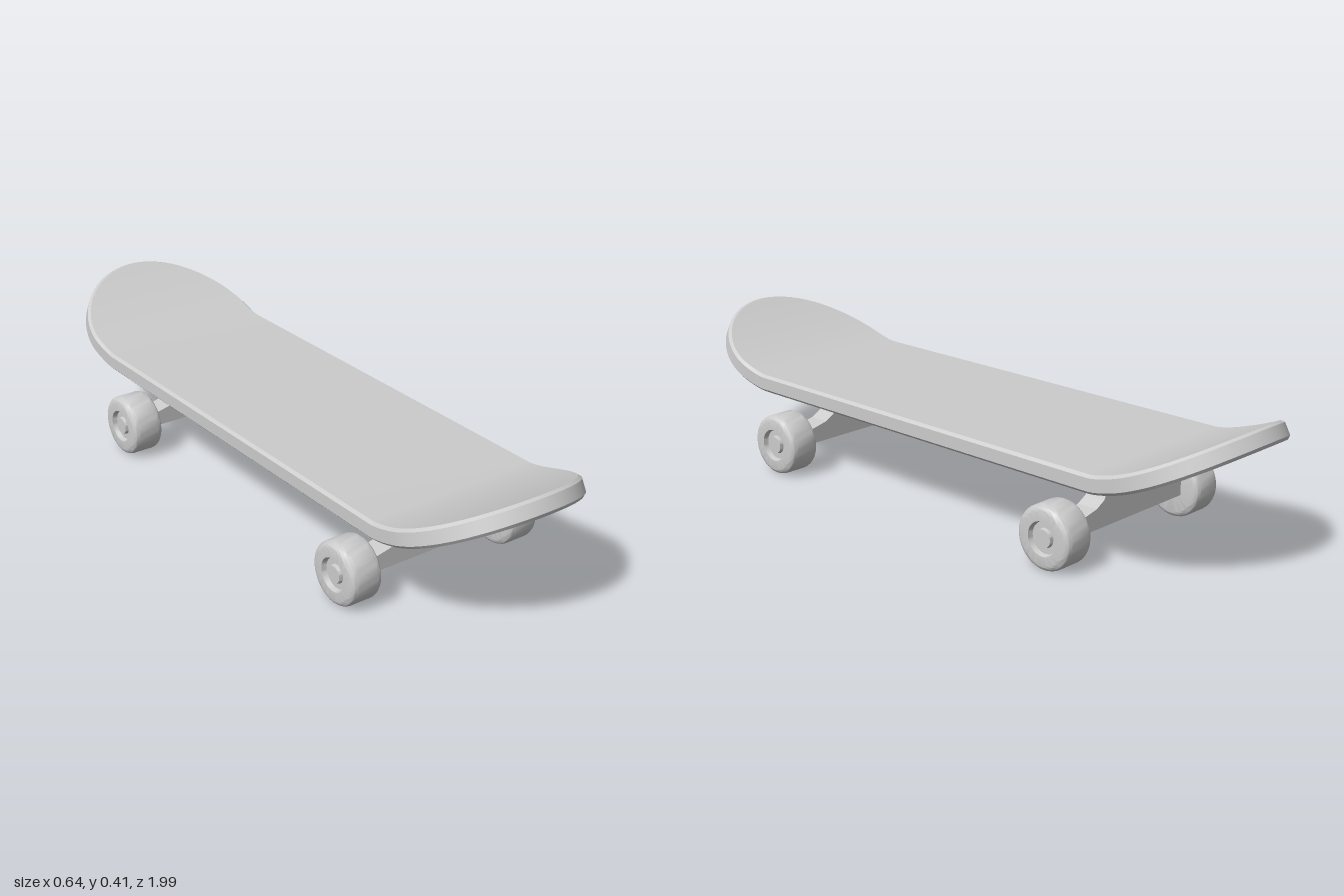
import * as THREE from 'three';
import { toCreasedNormals } from 'three/addons/utils/BufferGeometryUtils.js';

const material = new THREE.MeshStandardMaterial({ color: 0xcccccc });

const HALF_WIDTH = 0.275, THICK = 0.052, BEVEL = 0.008;
const DECK_Y = 0.227, ROUND_Z = 0.73, ROUND_R = 0.27, BEND_Z = 0.64;

// Lift a flat deck point onto the upturned nose and tail
function bend(x, h, z) {
  const t = Math.max(0, (Math.abs(z) - BEND_Z) / 0.36);
  const slope = Math.atan((0.147 * 1.5 / 0.36) * Math.sqrt(t));
  return [
    x,
    DECK_Y + 0.147 * t ** 1.5 + h * Math.cos(slope),
    z - Math.sign(z) * h * Math.sin(slope),
  ];
}

// Deck: bevelled cross-sections lofted from tail to nose
function deckGeometry() {
  const half = [{ a: 0, z: 0.4 }];
  for (let i = 0; i < 5; i++) half.push({ a: 0, z: BEND_Z + (ROUND_Z - BEND_Z) * i / 5 });
  for (let i = 0; i <= 24; i++) half.push({ a: (i / 24) * Math.PI / 2, z: ROUND_Z });
  const stations = [
    ...half.map((s) => ({ ...s, side: -1 })).reverse(),
    ...half.map((s) => ({ ...s, side: 1 })),
  ];
  const layers = [[BEVEL, 0], [0, BEVEL], [0, THICK - BEVEL], [BEVEL, THICK]];
  const positions = [], index = [];
  for (const { a, z, side } of stations) {
    const ring = layers.map(([inset, h]) => [
      (HALF_WIDTH - inset) * Math.cos(a), h,
      side * (z + (ROUND_R - inset) * Math.sin(a)),
    ]);
    const mirrored = ring.map(([x, h, zz]) => [-x, h, zz]).reverse();
    for (const p of [...ring, ...mirrored]) positions.push(...bend(...p));
  }
  for (let i = 0; i < stations.length - 1; i++) {
    for (let j = 0; j < 8; j++) {
      const A = i * 8 + j, B = i * 8 + (j + 1) % 8, C = A + 8, D = B + 8;
      index.push(A, B, C, B, D, C);
    }
  }
  const geometry = new THREE.BufferGeometry();
  geometry.setAttribute('position', new THREE.Float32BufferAttribute(positions, 3));
  geometry.setIndex(index);
  return toCreasedNormals(geometry, 0.6);
}

// Truck: symmetric hanger profile extruded along z
function truckGeometry() {
  const side = [[0.235, 0.073], [0.235, 0.111], [0.143, 0.131], [0.113, 0.148],
    [0.094, 0.182], [0.096, 0.215], [0.1, 0.24]];
  const outline = [...side, ...side.map(([x, y]) => [-x, y]).reverse()];
  const shape = new THREE.Shape(outline.map(([x, y]) => new THREE.Vector2(x, y)));
  const geometry = new THREE.ExtrudeGeometry(shape, { depth: 0.064, bevelEnabled: false });
  geometry.translate(0, 0, -0.032);
  return geometry;
}

// Wheel: rounded tyre with a recessed hub and axle nut on the outer face
function wheelGeometry() {
  const R = 0.09, W = 0.049, r = 0.018;
  const points = [[0, -W], [R - r, -W]];
  for (const [cy, start] of [[-W + r, -Math.PI / 2], [W - r, 0]]) {
    for (let i = 0; i <= 6; i++) {
      const a = start + (i / 6) * Math.PI / 2;
      points.push([R - r + r * Math.cos(a), cy + r * Math.sin(a)]);
    }
  }
  points.push([0.048, W], [0.044, W - 0.014], [0.027, W - 0.014], [0.025, W - 0.003], [0, W - 0.003]);
  const geometry = new THREE.LatheGeometry(points.map(([x, y]) => new THREE.Vector2(x, y)), 40);
  geometry.rotateZ(-Math.PI / 2);
  return toCreasedNormals(geometry, 0.6);
}

export function createModel() {
  const model = new THREE.Group();
  model.name = 'skateboard';
  const add = (parent, name, geometry, x, y, z) => {
    const mesh = new THREE.Mesh(geometry, material);
    mesh.name = name;
    mesh.position.set(x, y, z);
    parent.add(mesh);
    return mesh;
  };

  add(model, 'deck', deckGeometry(), -0.003, 0, 0);

  // Truck assemblies, each with a pair of wheels
  const truck = truckGeometry(), wheel = wheelGeometry();
  for (const [end, z] of [['front', 0.541], ['back', -0.533]]) {
    const assembly = new THREE.Group();
    assembly.name = end + 'TruckAssembly';
    assembly.position.z = z;
    model.add(assembly);
    add(assembly, end + 'Truck', truck, -0.003, 0, 0);
    add(assembly, end + 'LeftWheel', wheel, 0.27, 0.09, 0);
    add(assembly, end + 'RightWheel', wheel, -0.271, 0.09, 0).rotation.y = Math.PI;
  }
  return model;
}
